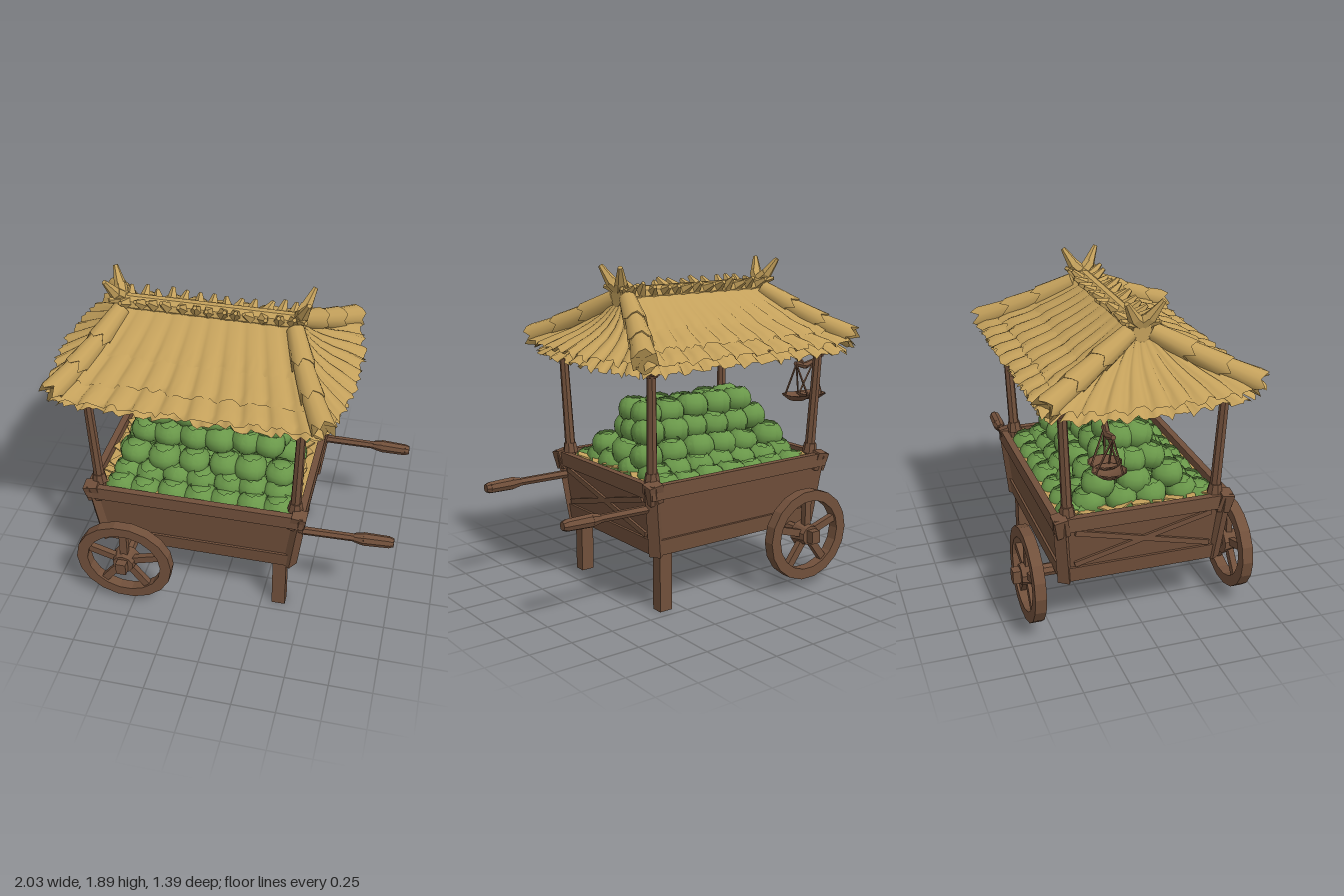
import * as THREE from 'three';
import { mergeGeometries } from 'three/addons/utils/BufferGeometryUtils.js';

const mat = (name, color, side = THREE.FrontSide) => {
  const m = new THREE.MeshStandardMaterial({ color, side });
  m.name = name;
  return m;
};
const wood = mat('wood', 0x71503b);
const straw = mat('straw', 0xc3a05b, THREE.DoubleSide);
const leaf = mat('leaf green', 0x6a984a, THREE.DoubleSide);
const V = (x, y, z) => new THREE.Vector3(x, y, z);
const CX = -0.145; // centre of the cart body

export function createModel() {
  const model = new THREE.Group();
  let seed = 7;
  const rnd = () => (seed = (seed * 16807) % 2147483647) / 2147483647;

  const add = (name, geo, material, parent = model) => {
    const m = new THREE.Mesh(geo, material);
    m.name = name;
    parent.add(m);
    return m;
  };
  const group = (name) => {
    const g = new THREE.Group();
    g.name = name;
    model.add(g);
    return g;
  };
  const box = (name, w, h, d, x, y, z, material = wood, parent = model) => {
    const m = add(name, new THREE.BoxGeometry(w, h, d), material, parent);
    m.position.set(x, y, z);
    return m;
  };
  // square beam between two points
  const beam = (name, a, b, w, h) => {
    const m = add(name, new THREE.BoxGeometry(w, h, a.distanceTo(b)), wood);
    m.position.copy(a).lerp(b, 0.5);
    m.lookAt(b);
  };
  // faceted tapered rod between two points
  const rod = (name, a, b, ra, rb, sides = 7, material = wood, parent = model) => {
    const geo = new THREE.CylinderGeometry(rb, ra, a.distanceTo(b), sides).toNonIndexed();
    geo.computeVertexNormals();
    const m = add(name, geo, material, parent);
    m.position.copy(a).lerp(b, 0.5);
    m.quaternion.setFromUnitVectors(V(0, 1, 0), b.clone().sub(a).normalize());
  };

  // flared cart body
  const bodyGeo = new THREE.BoxGeometry(2, 0.36, 2).toNonIndexed();
  const bp = bodyGeo.attributes.position;
  for (let i = 0; i < bp.count; i++) {
    const top = bp.getY(i) > 0;
    bp.setX(i, bp.getX(i) * (top ? 0.615 : 0.575));
    bp.setZ(i, bp.getZ(i) * (top ? 0.485 : 0.45));
  }
  bodyGeo.computeVertexNormals();
  add('cartBody', bodyGeo, wood).position.set(CX, 0.515, 0);
  box('strawBed', 1.2, 0.008, 0.94, CX, 0.702, 0, straw);
  for (const s of [-1, 1])
    for (let i = 0; i < 9; i++) {
      const wisp = box('strawWisp', 0.1, 0.009, 0.05, CX + s * (0.53 + rnd() * 0.02), 0.72 + rnd() * 0.025, -0.4 + i * 0.1, straw);
      wisp.rotation.set((rnd() - 0.5) * 0.5, rnd() * 3, (rnd() - 0.5) * 0.5);
    }

  for (const s of [-1, 1]) {
    // rails and lower planks
    box('longRail', 1.27, 0.08, 0.04, CX, 0.712, s * 0.488);
    box('endRail', 0.04, 0.08, 0.95, CX + s * 0.618, 0.712, 0);
    box('longPlank', 1.13, 0.09, 0.02, CX, 0.385, s * 0.458).rotation.x = s * 0.09;
    box('endPlank', 0.02, 0.09, 0.88, CX + s * 0.583, 0.385, 0).rotation.z = -s * 0.12;
    for (const t of [-1, 1]) {
      // crossed braces on each end
      beam('crossBrace', V(CX + s * 0.592, 0.45, t * 0.39), V(CX + s * 0.614, 0.655, -t * 0.39), 0.025, 0.03);
      // corner timbers, roof posts and lashings
      beam('cornerTimber', V(CX + s * 0.552, 0.335, t * 0.43), V(CX + s * 0.606, 0.745, t * 0.467), 0.068, 0.068);
      box('cornerBlock', 0.085, 0.11, 0.075, CX + s * 0.602, 0.705, t * 0.468).rotation.set(t * 0.2, 0, -s * 0.2);
      const foot = V(CX + s * 0.575, 0.66, t * 0.42), head = V(CX + s * 0.6, 1.39, t * 0.452);
      rod('roofPost', foot, head, 0.032, 0.026, 7);
      rod('postLashing', foot.clone().lerp(head, 0.12), foot.clone().lerp(head, 0.2), 0.046, 0.036, 8);
      rod('postCap', foot.clone().lerp(head, 0.92), foot.clone().lerp(head, 0.99), 0.033, 0.045, 8);
    }
    // roof frame
    beam('longRoofBeam', V(CX - 0.64, 1.38, s * 0.45), V(CX + 0.64, 1.38, s * 0.45), 0.045, 0.045);
    beam('endRoofBeam', V(CX + s * 0.6, 1.365, -0.5), V(CX + s * 0.6, 1.365, 0.5), 0.04, 0.04);

    // leg and pull handle
    box('leg', 0.08, 0.38, 0.068, 0.355, 0.19, s * 0.41);
    rod('handleBar', V(0.4, 0.612, s * 0.44), V(0.8, 0.615, s * 0.435), 0.025, 0.023, 6);
    rod('handleGrip', V(0.775, 0.615, s * 0.435), V(0.83, 0.615, s * 0.435), 0.026, 0.038, 8);
    rod('handleGrip', V(0.83, 0.615, s * 0.435), V(0.975, 0.615, s * 0.43), 0.038, 0.034, 8);
    rod('handleTip', V(0.975, 0.615, s * 0.43), V(1, 0.615, s * 0.43), 0.034, 0.024, 8);

    // spoked wheel, slightly out of round
    const wheel = group('wheel');
    wheel.position.set(-0.54, 0.317, s * 0.603);
    wheel.scale.y = 0.93;
    const circle = (r, dir) => Array.from({ length: 18 }, (_, i) =>
      new THREE.Vector2(r * Math.cos(i * Math.PI / 9), dir * r * Math.sin(i * Math.PI / 9)));
    const ring = new THREE.Shape(circle(0.288, 1));
    ring.holes.push(new THREE.Path(circle(0.222, -1)));
    add('wheelRim', new THREE.ExtrudeGeometry(ring, { depth: 0.064, bevelEnabled: false }), wood, wheel).position.z = -0.032;
    for (let i = 0; i < 5; i++) {
      const a = Math.PI / 2 + i * Math.PI * 0.4;
      box('spoke', 0.19, 0.045, 0.035, Math.cos(a) * 0.14, Math.sin(a) * 0.14, 0, wood, wheel).rotation.z = a;
    }
    rod('hub', V(0, 0, -s * 0.045), V(0, 0, s * 0.045), 0.08, 0.062, 10, wood, wheel);
    box('axleEnd', 0.06, 0.08, 0.09, 0, 0, s * 0.045, wood, wheel);
  }
  rod('axle', V(-0.54, 0.322, -0.6), V(-0.54, 0.322, 0.6), 0.036, 0.036, 8);

  // cabbages: a ball wrapped in flared leaves
  const parts = [new THREE.SphereGeometry(0.94, 12, 8)];
  for (let i = 0; i < 4; i++) {
    const g = new THREE.SphereGeometry(1, 8, 6, 0, 2.1, 0.45, 2.2);
    const p = g.attributes.position;
    for (let k = 0; k < p.count; k++) {
      const c = k % 9, row = Math.floor(k / 9);
      const f = row === 0 ? 1.1 : 1 + 0.05 * Math.abs(c - 4) / 4;
      p.setXYZ(k, p.getX(k) * f, p.getY(k) * f + (row === 0 ? 0.04 * Math.sin(c * 2) : 0), p.getZ(k) * f);
    }
    g.computeVertexNormals();
    parts.push(g.rotateX(0.12).rotateY(i * 1.57));
  }
  const cabbageGeo = mergeGeometries(parts);
  // squarish bulge, so neighbours pack tightly
  const cp = cabbageGeo.attributes.position;
  for (let i = 0; i < cp.count; i++) {
    const p = V(cp.getX(i), cp.getY(i), cp.getZ(i)), len = p.length();
    const n = p.clone().divideScalar(len);
    p.multiplyScalar(Math.pow(n.x ** 4 + n.y ** 4 + n.z ** 4, -0.12));
    cp.setXYZ(i, p.x, p.y, p.z);
  }
  const heap = group('cabbageHeap');
  const layers = [ // y, first x, last x, count, z positions
    [0.69, -0.62, 0.33, 7, [-0.365, 0.365]],
    [0.74, -0.6, 0.32, 7, [-0.27, -0.09, 0.09, 0.27]],
    [0.83, -0.56, 0.31, 6, [-0.21, 0, 0.21]],
    [0.935, -0.525, 0.23, 6, [-0.11, 0, 0.11]],
    [1.038, -0.46, 0.225, 5, [-0.055, 0.055]],
  ];
  for (const [y, x0, x1, n, zs] of layers)
    for (const z of zs)
      for (let i = 0; i < n; i++) {
        const c = add('cabbage', cabbageGeo, leaf, heap);
        c.position.set(x0 + (x1 - x0) * i / (n - 1) + (rnd() - 0.5) * 0.025, y + (rnd() - 0.5) * 0.015, z + (rnd() - 0.5) * 0.015);
        c.rotation.set((rnd() - 0.5) * 0.35, Math.floor(rnd() * 4) * 1.57 + (rnd() - 0.5) * 0.6, (rnd() - 0.5) * 0.35);
        const r = 0.083 + rnd() * 0.008;
        c.scale.set(r, r * 0.85, r);
      }

  // thatched roof: overlapping courses of bundles with ragged ends
  const roof = group('thatchedRoof');
  roof.position.x = -0.155;
  const longSide = (u, v) => V(u * (0.5 + 0.25 * v), 1.725 - 0.44 * v + 0.13 * v * v, 0.03 + 0.57 * v);
  const endSide = (u, v) => V(0.5 + 0.13 * v + 0.22 * v * v - 0.08 * u * u * v, 1.725 - 0.4 * v + 0.09 * v * v, -u * (0.05 + 0.51 * v));
  const course = (name, side, turn, n, v0, v1, lift0, lift1) => {
    const cols = n * 6, rows = 6, pos = [], index = [];
    for (let r = 0; r <= rows; r++)
      for (let c = 0; c <= cols; c++) {
        const u = c / cols * 2 - 1, t = r / rows;
        let v = v0 + (v1 - v0) * t;
        const arch = Math.sqrt(Math.abs(Math.sin(Math.PI * c / 6)));
        if (r === rows) v += (rnd() - 0.5) * 0.06 + 0.03 * (arch - 0.5);
        const p = side(u, v);
        p.y += lift0 + (lift1 - lift0) * t + 0.03 * (0.2 + v) * arch - 0.01;
        if (r === rows) p.y -= 0.008 + rnd() * 0.012;
        pos.push(p.x, p.y, p.z);
        if (r < rows && c < cols) {
          const a = r * (cols + 1) + c, b = a + cols + 1;
          index.push(a, b, a + 1, b, b + 1, a + 1);
        }
      }
    const g = new THREE.BufferGeometry();
    g.setAttribute('position', new THREE.Float32BufferAttribute(pos, 3));
    g.setIndex(index);
    g.computeVertexNormals();
    add(name, g, straw, roof).rotation.y = turn;
  };
  // ragged sleeve of straw between two points
  const sleeve = (name, a, b, ra, rb) => {
    const half = a.distanceTo(b) / 2;
    const g = new THREE.CylinderGeometry(rb, ra, half * 2, 12, 2);
    const p = g.attributes.position;
    for (let i = 0; i < p.count; i++) {
      const onRim = Math.hypot(p.getX(i), p.getZ(i)) > 0.01;
      if (p.getY(i) > half - 0.001)
        p.setY(i, half + (onRim ? (Math.sin(Math.atan2(p.getX(i), p.getZ(i)) * 5) * 0.5 - 0.2) * 0.06 : -0.05));
    }
    const m = add(name, g, straw, roof);
    m.position.copy(a).lerp(b, 0.5);
    m.quaternion.setFromUnitVectors(V(0, 1, 0), b.clone().sub(a).normalize());
  };
  for (const turn of [0, Math.PI]) {
    course('underThatch', longSide, turn, 11, 0, 0.94, -0.045, -0.065);
    course('lowerThatch', longSide, turn, 10, 0.6, 1, -0.01, 0.005);
    course('middleThatch', longSide, turn, 10, 0.35, 0.79, 0, 0.02);
    course('upperThatch', longSide, turn, 10, 0, 0.5, 0, 0.018);
    course('endUnderThatch', endSide, turn, 9, 0, 0.94, -0.045, -0.065);
    course('endThatch', endSide, turn, 9, 0, 1, -0.005, 0.01);
  }
  for (const s of [-1, 1])
    for (const t of [-1, 1]) {
      // hip rolls and crossed horns
      const hip = new THREE.QuadraticBezierCurve3(V(s * 0.49, 1.7, t * 0.06), V(s * 0.59, 1.55, t * 0.32), V(s * 0.745, 1.44, t * 0.59));
      for (const [k0, k1] of [[0.6, 1], [0.3, 0.7], [0, 0.38]])
        sleeve('hipRoll', hip.getPoint(k0), hip.getPoint(k1), 0.05 + 0.008 * k0, 0.064 + 0.006 * k1);
      rod('ridgeHorn', V(s * 0.48, 1.71, -t * 0.04), V(s * 0.525, 1.79, t * 0.05), 0.036, 0.036, 6, straw, roof);
      rod('ridgeHorn', V(s * 0.525, 1.785, t * 0.045), V(s * 0.565, 1.88, t * 0.1), 0.036, 0.014, 6, straw, roof);
      rod('ridgeSpike', V(s * 0.47, 1.73, 0), V(s * 0.55, 1.765, t * 0.09), 0.034, 0.012, 5, straw, roof);
    }
  // ridge roll with tufts along both edges
  rod('ridgeRoll', V(-0.53, 1.71, 0), V(0.53, 1.71, 0), 0.055, 0.055, 10, straw, roof);
  for (const t of [-1, 1])
    for (let i = 0; i < 13; i++) {
      const x = -0.46 + i * 0.077 + (rnd() - 0.5) * 0.02;
      rod('ridgeTuft', V(x, 1.725, t * 0.03), V(x + (rnd() - 0.5) * 0.06, 1.755 + rnd() * 0.035, t * (0.085 + rnd() * 0.025)), 0.036, 0.012, 5, straw, roof);
    }

  // hanging balance with two pans
  const scale = group('hangingScale');
  rod('scaleHook', V(-0.845, 1.225, -0.235), V(-0.78, 1.295, -0.235), 0.014, 0.016, 6, wood, scale);
  rod('scaleBeam', V(-0.925, 1.26, -0.235), V(-0.845, 1.235, -0.235), 0.014, 0.022, 6, wood, scale);
  rod('scaleBeam', V(-0.845, 1.235, -0.235), V(-0.765, 1.255, -0.235), 0.022, 0.014, 6, wood, scale);
  const panProfile = [[0.001, -0.035], [0.05, -0.028], [0.094, 0.005], [0.08, 0.008], [0.04, -0.012], [0.001, -0.016]]
    .map(([x, y]) => new THREE.Vector2(x, y));
  for (const [x, z, hook] of [[-0.89, -0.245, -0.915], [-0.785, -0.235, -0.775]]) {
    add('scalePan', new THREE.LatheGeometry(panProfile, 10), wood, scale).position.set(x, 1.058, z);
    for (let i = 0; i < 3; i++) {
      const a = i * Math.PI * 2 / 3 + 0.3;
      rod('panCord', V(hook, 1.25, -0.235), V(x + 0.08 * Math.cos(a), 1.062, z + 0.08 * Math.sin(a)), 0.006, 0.006, 4, wood, scale);
    }
  }
  return model;
}
